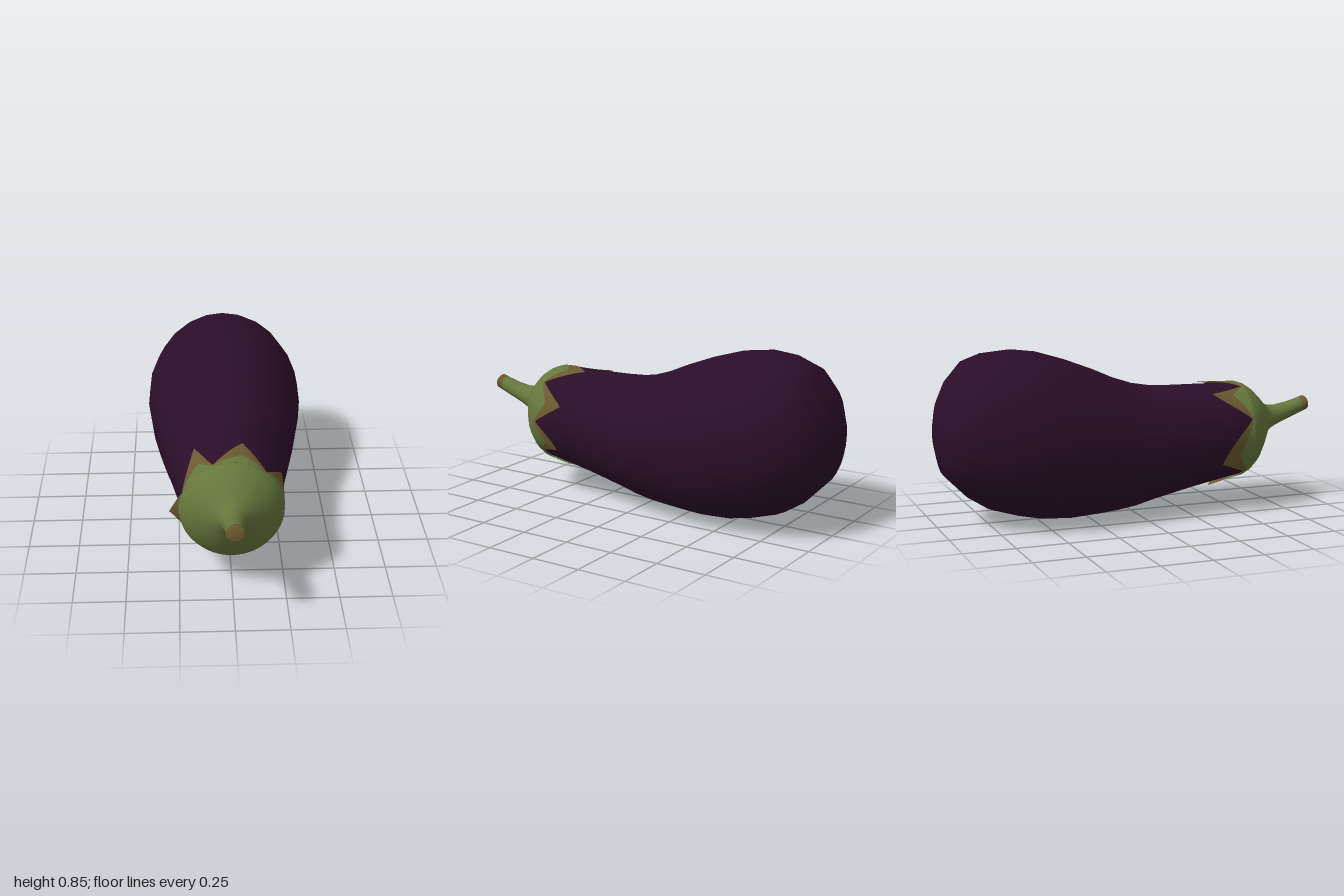
import * as THREE from 'three';

// Body sections along z: [z, centre y, half width, half height]
const BODY = [
  [-1, 0.45, 0, 0], [-0.992, 0.45, 0.1, 0.09], [-0.965, 0.447, 0.2, 0.19],
  [-0.92, 0.468, 0.275, 0.257], [-0.85, 0.472, 0.328, 0.332], [-0.75, 0.458, 0.367, 0.382],
  [-0.62, 0.444, 0.4, 0.407], [-0.5, 0.424, 0.404, 0.412], [-0.35, 0.397, 0.386, 0.394],
  [-0.2, 0.373, 0.358, 0.361], [-0.1, 0.355, 0.336, 0.335], [0, 0.346, 0.315, 0.311],
  [0.1, 0.35, 0.296, 0.29], [0.2, 0.358, 0.28, 0.277], [0.3, 0.368, 0.265, 0.266],
  [0.42, 0.379, 0.252, 0.254], [0.58, 0.391, 0.238, 0.238], [0.64, 0.393, 0.19, 0.19],
  [0.69, 0.4, 0, 0],
];

// Calyx and stem sections; the fifth number tilts the ring forward at the bottom
const RIM = 0.58, GAP = 0.008;
const CALYX = [
  [RIM, 0.391, 0.246, 0.246], [0.61, 0.393, 0.232, 0.234], [0.65, 0.397, 0.2, 0.204],
  [0.69, 0.408, 0.153, 0.155], [0.72, 0.42, 0.113, 0.112], [0.745, 0.43, 0.08, 0.08],
  [0.77, 0.438, 0.063, 0.064], [0.81, 0.448, 0.052, 0.053], [0.88, 0.468, 0.045, 0.045],
  [0.955, 0.493, 0.041, 0.039, 0.15],
];
const STEM_TIP = [[0.955, 0.493, 0.041, 0.039, 0.15], [0.985, 0.504, 0.043, 0.037, 0.2]];
const STEM_END = [[0.985, 0.504, 0.043, 0.037, 0.2], [0.993, 0.505, 0.034, 0.03, 0.2], [0.992, 0.505, 0, 0]];

// Leaf lobes: [start angle, tip angle, end angle, tip z, outward curl]
const LOBES = [
  [0, 24, 50, 0.41, 0.005], [50, 78, 111, 0.385, 0], [111, 127, 160, 0.37, 0.02],
  [160, 200, 235, 0.375, 0.05], [235, 265, 317, 0.42, 0.015], [317, 336, 360, 0.42, 0.025],
];

// Smooth surface from a rule fn(u, v) -> [x, y, z]; closed surfaces share their seam
function surface(fn, nu, nv, closed) {
  const pos = [], index = [], cols = closed ? nu : nu + 1;
  for (let i = 0; i <= nv; i++)
    for (let j = 0; j < cols; j++) pos.push(...fn(j / nu, i / nv));
  for (let i = 0; i < nv; i++)
    for (let j = 0; j < nu; j++) {
      const k = (j + 1) % cols;
      const a = i * cols + j, b = i * cols + k, c = a + cols, d = b + cols;
      index.push(a, b, c, b, d, c);
    }
  const g = new THREE.BufferGeometry();
  g.setAttribute('position', new THREE.Float32BufferAttribute(pos, 3));
  g.setIndex(index);
  g.computeVertexNormals();
  return g;
}

// Elliptical rings joined into a skin
function loft(rings, sides) {
  return surface((u, v) => {
    const [z, cy, rx, ry, tilt = 0] = rings[Math.round(v * (rings.length - 1))];
    const a = u * Math.PI * 2, dy = ry * Math.sin(a);
    return [rx * Math.cos(a), cy + dy, z - tilt * dy];
  }, sides, rings.length - 1, true);
}

// Body section at any z
function section(z) {
  let i = 0;
  while (i < BODY.length - 2 && BODY[i + 1][0] < z) i++;
  const p = BODY[i], q = BODY[i + 1], t = (z - p[0]) / (q[0] - p[0]);
  return p.map((n, k) => n + (q[k] - n) * t);
}

// Part of a pointed lobe hugging the body, from v0 (edge) to v1 (rim)
function lobe([start, tip, end, tipZ, curl], v0, v1) {
  return surface((u, v) => {
    const deg = u < 0.5 ? start + (tip - start) * u * 2 : tip + (end - tip) * (u * 2 - 1);
    const a = THREE.MathUtils.degToRad(deg);
    const length = 0.012 + (RIM - 0.012 - tipZ) * Math.pow(1 - Math.abs(2 * u - 1), 1.1);
    const z = RIM - length * (1 - (v0 + (v1 - v0) * v));
    const reach = (RIM - z) / (RIM - tipZ);
    const [, cy, rx, ry] = section(z);
    const off = GAP + curl * reach ** 3;
    return [(rx + off) * Math.cos(a), cy + (ry + off) * Math.sin(a), z];
  }, 16, 6, false);
}

export function createModel() {
  const material = (name, color, side = THREE.FrontSide) => {
    const m = new THREE.MeshStandardMaterial({ color, side });
    m.name = name;
    return m;
  };
  const purple = material('dark purple skin', 0x2b0e29);
  const green = material('calyx green', 0x66773c, THREE.DoubleSide);
  const olive = material('dry olive brown', 0x6b5a30, THREE.DoubleSide);

  const group = new THREE.Group();
  group.name = 'eggplant';
  const add = (name, geometry, mat) => {
    const mesh = new THREE.Mesh(geometry, mat);
    mesh.name = name;
    group.add(mesh);
  };

  add('body', loft(BODY, 24), purple);
  add('calyxAndStem', loft(CALYX, 48), green);
  add('stemTip', loft(STEM_TIP, 24), olive);
  add('stemEnd', loft(STEM_END, 24), olive);

  // Lobes: green at the root, dried towards the tip
  LOBES.forEach((l, i) => {
    add(`lobeRoot${i + 1}`, lobe(l, 0.6, 1), green);
    add(`lobeTip${i + 1}`, lobe(l, 0, 0.6), olive);
  });
  return group;
}
